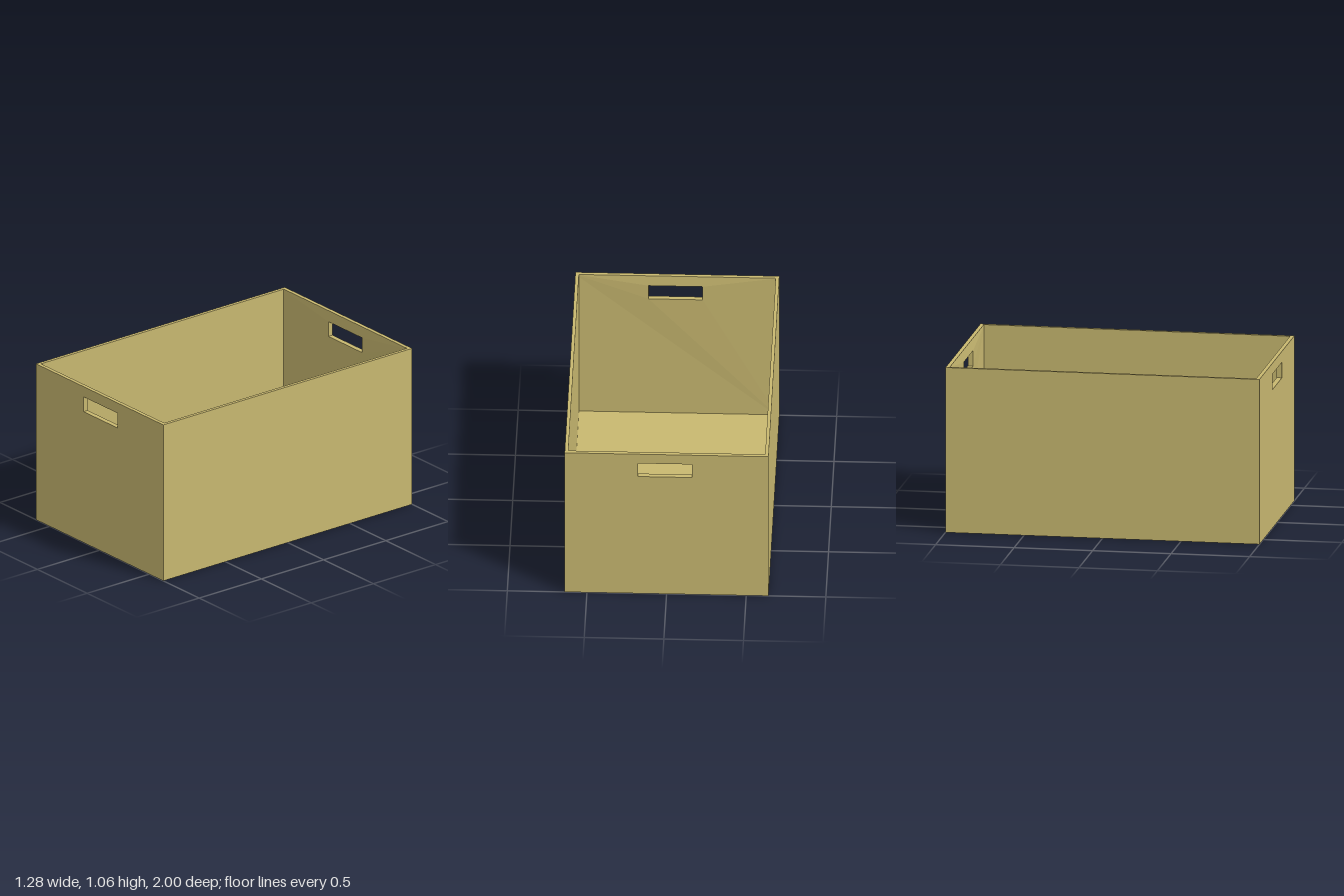
import * as THREE from 'three';

const W = 1.28, H = 1.06, L = 2, SIDE = 0.022, END = 0.025, FLOOR = 0.02;

// End panel with a handle slot; the inner rim of the slot swells slightly inward
function endPanelGeometry(isFront) {
  const shape = new THREE.Shape();
  shape.moveTo(-W / 2, 0).lineTo(W / 2, 0).lineTo(W / 2, H).lineTo(-W / 2, H).closePath();
  const slot = new THREE.Path();
  slot.moveTo(-0.16, 0.89).lineTo(-0.16, 0.99).lineTo(0.18, 0.99).lineTo(0.18, 0.89).closePath();
  shape.holes.push(slot);

  const geo = new THREE.ExtrudeGeometry(shape, { depth: END, bevelEnabled: false });
  const p = geo.attributes.position;
  for (let i = 0; i < p.count; i++) {
    const onSlot = Math.abs(p.getX(i)) < 0.3;
    const inner = isFront ? p.getZ(i) < END / 2 : p.getZ(i) > END / 2;
    if (onSlot && inner) p.setZ(i, p.getZ(i) + (isFront ? -0.008 : 0.008));
  }
  geo.translate(0, 0, isFront ? L / 2 - END : -L / 2);
  geo.computeVertexNormals();
  return geo;
}

export function createModel() {
  const group = new THREE.Group();
  group.name = 'storageBox';
  const tan = new THREE.MeshStandardMaterial({ color: 0xc8b870 });
  tan.name = 'tan';

  const add = (name, geo, x = 0, y = 0, z = 0) => {
    const mesh = new THREE.Mesh(geo, tan);
    mesh.name = name;
    mesh.position.set(x, y, z);
    group.add(mesh);
  };

  // Ends with handle slots
  add('frontPanel', endPanelGeometry(true));
  add('backPanel', endPanelGeometry(false));

  // Long side walls between the ends
  for (const s of [1, -1]) {
    add(s > 0 ? 'leftWall' : 'rightWall',
      new THREE.BoxGeometry(SIDE, H, L - 2 * END), s * (W - SIDE) / 2, H / 2, 0);
  }

  // Floor
  add('floor', new THREE.BoxGeometry(W - 2 * SIDE, FLOOR, L - 2 * END), 0, FLOOR / 2, 0);
  return group;
}
